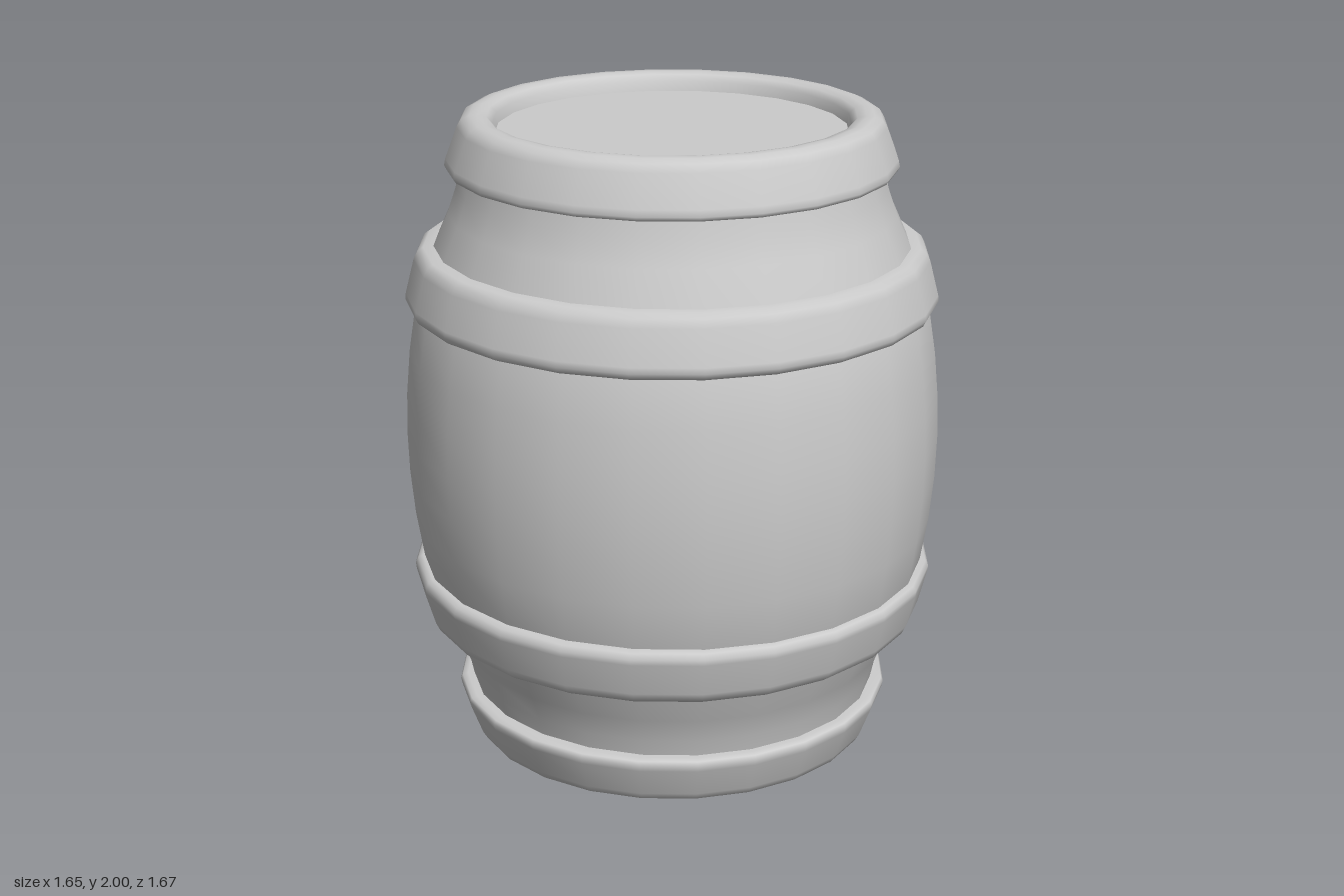
import * as THREE from 'three';

const SIDES = 24;
const material = new THREE.MeshStandardMaterial({ color: 0xcccccc });

// Revolve a list of [radius, height] points, running bottom to top on the outside
function lathe(name, profile) {
  const points = profile.map(([r, y]) => new THREE.Vector2(r, y));
  const mesh = new THREE.Mesh(new THREE.LatheGeometry(points, SIDES), material);
  mesh.name = name;
  return mesh;
}

// Same profile reflected about the barrel's middle height
const mirrored = (profile) => profile.map(([r, y]) => [r, 2 - y]).reverse();

function lid(name, y, up) {
  const mesh = new THREE.Mesh(new THREE.CircleGeometry(0.545, SIDES, Math.PI / 2), material);
  mesh.rotation.x = up ? -Math.PI / 2 : Math.PI / 2;
  mesh.position.y = y;
  mesh.name = name;
  return mesh;
}

export function createModel() {
  const barrel = new THREE.Group();
  barrel.name = 'barrel';

  // Bulging staves, flaring in towards both ends
  const upperHalf = [
    [0.837, 1.0], [0.833, 1.13], [0.82, 1.27], [0.796, 1.42], [0.735, 1.6],
    [0.69, 1.7], [0.662, 1.78], [0.645, 1.86],
  ];
  const body = lathe('body', [...mirrored(upperHalf).slice(0, -1), ...upperHalf]);
  body.scale.x = 0.987;
  barrel.add(body);

  // Rounded hoop around the belly
  const hoop = [
    [0.76, 1.413], [0.795, 1.413], [0.81, 1.42], [0.819, 1.437], [0.817, 1.455],
    [0.79, 1.56], [0.778, 1.585], [0.76, 1.598], [0.72, 1.6],
  ];
  // Rounded end rim, rolling over to the recessed lid
  const rim = [
    [0.62, 1.833], [0.665, 1.833], [0.682, 1.838], [0.688, 1.85], [0.684, 1.87],
    [0.648, 1.965], [0.634, 1.988], [0.61, 1.999], [0.585, 2.0],
    [0.558, 1.994], [0.54, 1.975], [0.532, 1.935],
  ];
  barrel.add(
    lathe('upperHoop', hoop),
    lathe('lowerHoop', mirrored(hoop)),
    lathe('topRim', rim),
    lathe('bottomRim', mirrored(rim)),
    lid('topLid', 1.945, true),
    lid('bottomLid', 0.055, false),
  );
  return barrel;
}
